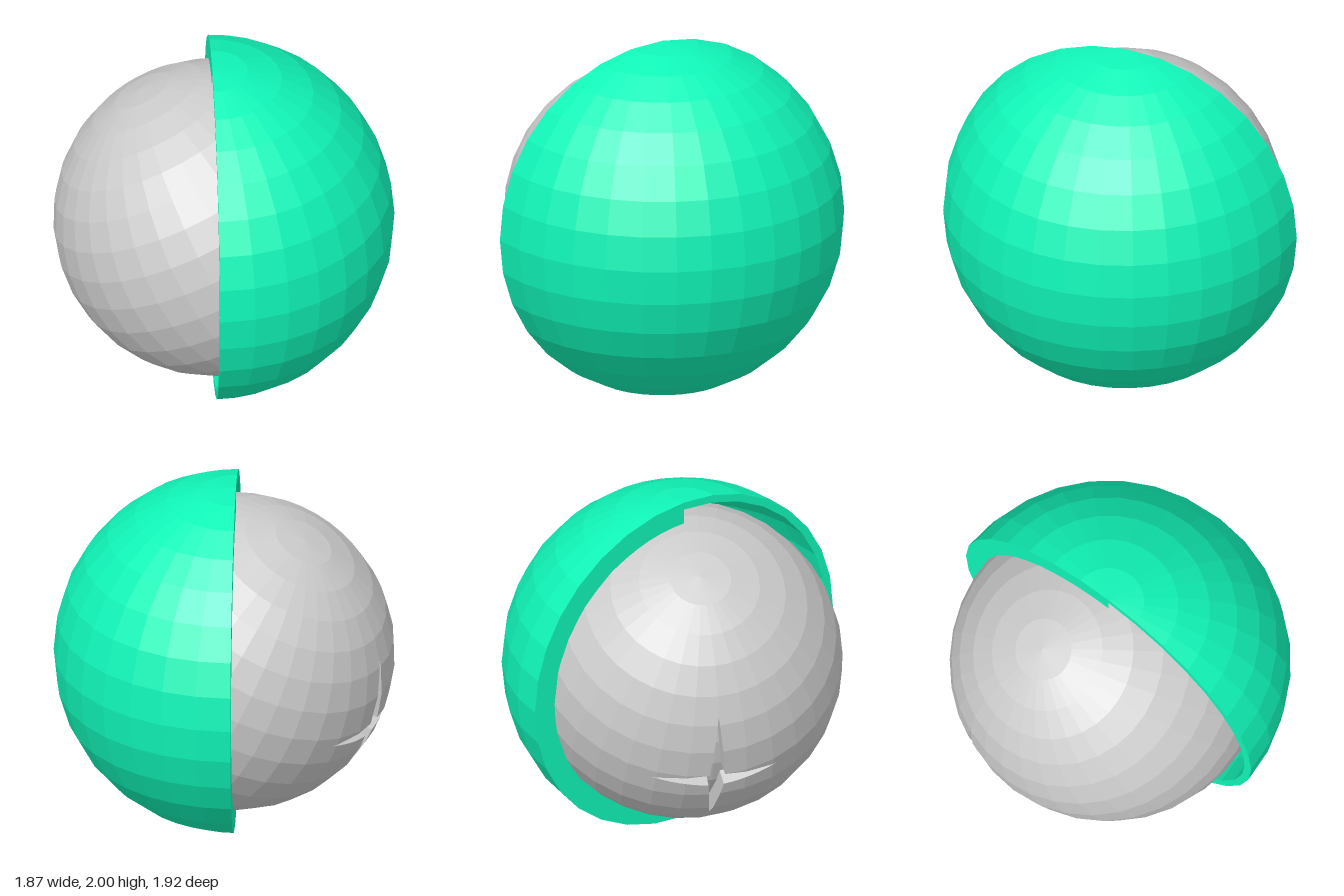
import * as THREE from 'three';

const rad = THREE.MathUtils.degToRad;
const V = (x, y, z) => new THREE.Vector3(x, y, z);
const BALL_R = 0.872, CORE_R = 0.78, SHELL_IN = 0.955;

const green = new THREE.MeshStandardMaterial({ color: 0x10f5b8, flatShading: true, side: THREE.DoubleSide });
const grey = new THREE.MeshStandardMaterial({ color: 0xcccccc, flatShading: true, side: THREE.DoubleSide });

function mesh(name, geometry, material) {
  const m = new THREE.Mesh(geometry, material);
  m.name = name;
  return m;
}

function fromPoints(points) {
  const g = new THREE.BufferGeometry().setFromPoints(points);
  g.computeVertexNormals();
  return g;
}

// Four tapering arms of the star crack, each a kite of directions on the ball
function starArms() {
  const a = rad(20);
  const c = V(-Math.cos(a), -Math.sin(a), 0);
  const up = V(-Math.sin(a), Math.cos(a), 0);
  const side = V(0, 0, 1);
  const at = (u, s) => c.clone().addScaledVector(up, u).addScaledVector(side, s).normalize();
  const k = 0.05;
  const t = (deg) => Math.tan(rad(deg));
  return [
    [c, at(k, -k), at(t(29), 0), at(k, k)],
    [c, at(k, k), at(0, t(24)), at(-k, k)],
    [c, at(-k, k), at(-t(25), 0), at(-k, -k)],
    [c, at(-k, -k), at(0, -t(24)), at(k, -k)],
  ];
}

// Part of a polygon on the positive side of a plane through the centre
function clip(poly, n) {
  const out = [];
  poly.forEach((p, i) => {
    const q = poly[(i + 1) % poly.length];
    const dp = p.dot(n), dq = q.dot(n);
    if (dp >= 0) out.push(p);
    if ((dp > 0 && dq < 0) || (dp < 0 && dq > 0)) out.push(p.clone().lerp(q, dp / (dp - dq)));
  });
  return out;
}

// Pieces of a polygon left after cutting away one kite
function subtract(poly, kite) {
  const mid = kite.reduce((s, p) => s.add(p), V(0, 0, 0));
  const kept = [];
  let rest = poly;
  for (let i = 0; i < 4 && rest.length > 2; i++) {
    const n = kite[i].clone().cross(kite[(i + 1) % 4]).normalize();
    if (n.dot(mid) < 0) n.negate();
    const outside = clip(rest, n.clone().negate());
    if (outside.length > 2) kept.push(outside);
    rest = clip(rest, n);
  }
  return rest.length > 2 ? kept : [poly];
}

// Tilted faceted ball with the star crack cut out
function crackedBall(arms) {
  const g = new THREE.SphereGeometry(BALL_R, 32, 16).rotateZ(rad(28.5)).toNonIndexed();
  const pos = g.attributes.position;
  const points = [];
  for (let i = 0; i < pos.count; i += 3) {
    let polys = [[0, 1, 2].map((j) => V(0, 0, 0).fromBufferAttribute(pos, i + j))];
    for (const arm of arms) polys = polys.flatMap((p) => subtract(p, arm));
    for (const p of polys)
      for (let j = 1; j < p.length - 1; j++) points.push(p[0], p[j], p[j + 1]);
  }
  return fromPoints(points);
}

// Walls running inward from the edge of the crack to the core
function crackWalls(arms) {
  const points = [], steps = 6;
  for (const [, c1, tip, c2] of arms)
    for (const [a, b] of [[c1, tip], [tip, c2]])
      for (let i = 0; i < steps; i++) {
        const p = a.clone().lerp(b, i / steps).normalize();
        const q = a.clone().lerp(b, (i + 1) / steps).normalize();
        const [po, qo] = [p, q].map((v) => v.clone().multiplyScalar(BALL_R - 0.005));
        const [pi, qi] = [p, q].map((v) => v.clone().multiplyScalar(CORE_R - 0.01));
        points.push(po, qo, qi, po, qi, pi);
      }
  return fromPoints(points);
}

export function createModel() {
  const model = new THREE.Group();
  model.name = 'ballInHalfShell';

  // Half shell: outer and inner walls, rim, and the flat filler on its back half
  const shell = new THREE.Group();
  shell.name = 'halfShell';
  const half = (r) => new THREE.SphereGeometry(r, 16, 16, rad(112.5), Math.PI);
  const ring = (r0, r1, n, start, len) =>
    new THREE.RingGeometry(r0, r1, n, 1, start, len).rotateY(rad(-67.5));
  shell.add(
    mesh('shellOuter', half(1), green),
    mesh('shellInner', half(SHELL_IN), green),
    mesh('shellRim', ring(SHELL_IN, 1, 32, 0, Math.PI * 2), green),
    mesh('rimFiller', ring(BALL_R - 0.02, SHELL_IN, 16, Math.PI / 2, Math.PI), green),
  );

  // Ball with its star-shaped crack
  const ball = new THREE.Group();
  ball.name = 'ball';
  const arms = starArms();
  ball.add(
    mesh('ballSurface', crackedBall(arms), grey),
    mesh('crackWalls', crackWalls(arms), grey),
    mesh('ballCore', new THREE.SphereGeometry(CORE_R, 32, 16).rotateZ(rad(28.5)), grey),
  );

  model.add(shell, ball);
  model.children.forEach((part) => part.position.set(-0.065, 1, 0.035));
  return model;
}
